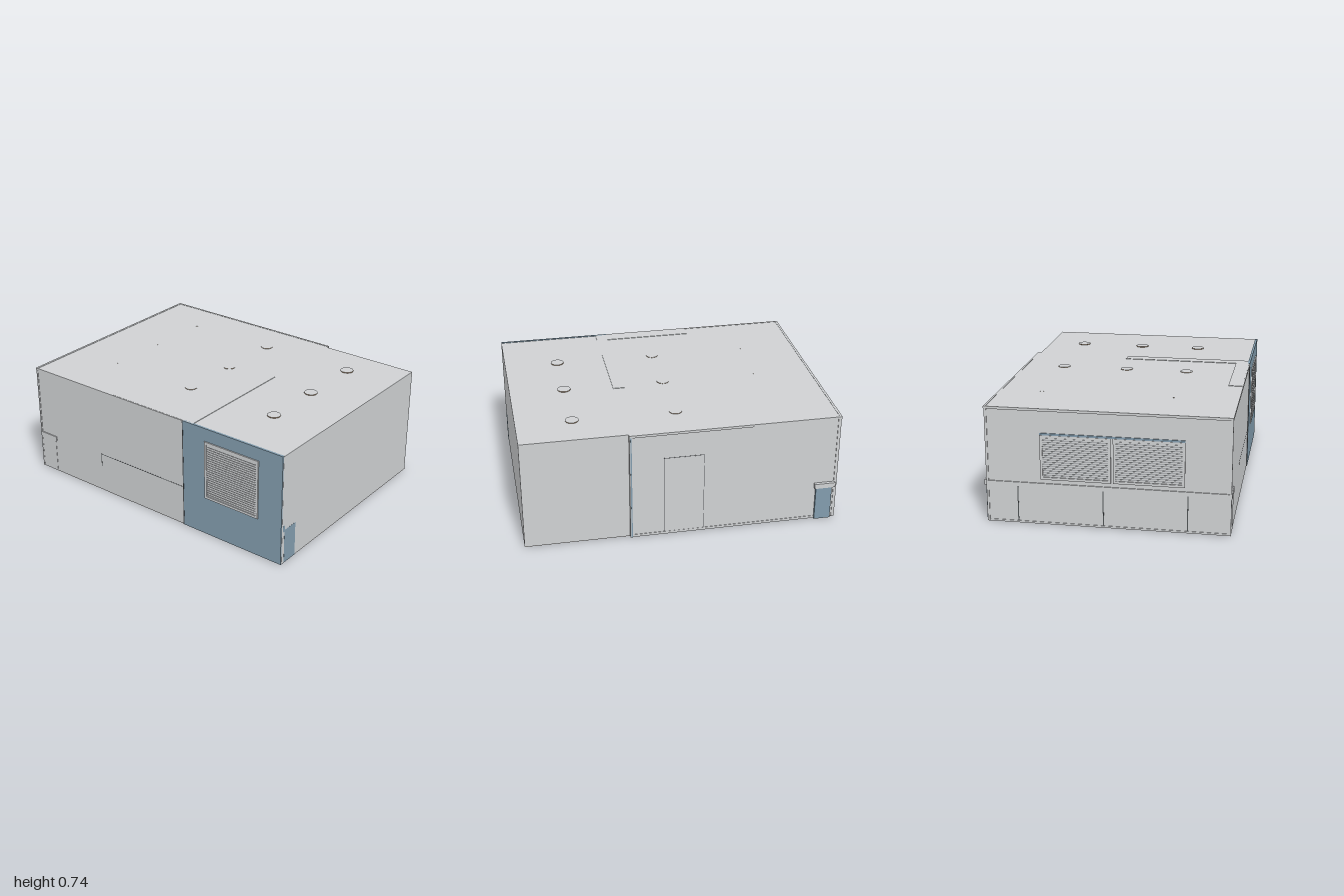
import * as THREE from 'three';

const mat = (name, color) => {
  const m = new THREE.MeshStandardMaterial({ color });
  m.name = name;
  return m;
};

export function createModel() {
  const room = new THREE.Group();
  room.name = 'room';
  const wall = mat('pale grey', 0xcfd1d3);
  const blue = mat('slate blue', 0x829cad);
  const floorMat = mat('brown floor', 0xa09686);
  const brown = mat('light ring brown', 0x9a7b5c);
  const dark = mat('dark seam', 0x4e5254);
  const shade = mat('window grey', 0x8b9093);

  // Box given by its minimum and maximum corners
  const block = (name, material, [x0, y0, z0], [x1, y1, z1], parent = room) => {
    const mesh = new THREE.Mesh(new THREE.BoxGeometry(x1 - x0, y1 - y0, z1 - z0), material);
    mesh.position.set((x0 + x1) / 2, (y0 + y1) / 2, (z0 + z1) / 2);
    mesh.name = name;
    parent.add(mesh);
    return mesh;
  };

  // Shell: front section is slightly narrower than the back section
  block('frontSection', wall, [-0.742, 0.004, 0.33], [0.72, 0.732, 1]);
  block('backSection', wall, [-0.746, 0.004, -0.992], [0.735, 0.732, 0.33]);
  block('frontFloor', floorMat, [-0.742, 0.002, 0.33], [0.72, 0.004, 1]);
  block('backFloor', floorMat, [-0.746, 0.002, -0.992], [0.735, 0.004, 0.33]);
  block('blueSideWall', blue, [-0.75, 0.001, 0.26], [-0.735, 0.735, 0.999]);

  // Cornice and skirting around the back section
  block('backCornice', wall, [-0.75, 0.718, -1], [0.742, 0.734, -0.985]);
  block('leftCornice', wall, [0.73, 0.718, -1], [0.742, 0.734, 0.335]);
  block('rightCornice', wall, [-0.75, 0.718, -1], [-0.74, 0.734, 0.26]);
  block('leftSkirting', wall, [0.73, 0.003, -0.99], [0.738, 0.02, 0.33]);
  block('backSkirting', wall, [-0.746, 0.003, -0.996], [0.735, 0.015, -0.985]);

  // Corner posts and the seam where the sections meet
  block('leftCornerPost', wall, [0.725, 0.003, -0.997], [0.739, 0.725, -0.978]);
  block('rightCornerPost', wall, [-0.749, 0.003, -0.997], [-0.735, 0.725, -0.985]);
  block('sectionPost', wall, [0.72, 0.003, 0.315], [0.74, 0.732, 0.336]);
  block('sectionSeam', blue, [0.73, 0.003, 0.322], [0.741, 0.732, 0.33]);
  block('rightWallSeam', dark, [-0.751, 0.003, 0.254], [-0.74, 0.732, 0.26]);

  // Door on the left wall: thin leaf with a dark reveal line
  block('doorReveal', dark, [0.73, 0.006, -0.133], [0.7358, 0.555, 0.123]);
  block('doorLeaf', wall, [0.73, 0.006, -0.13], [0.7366, 0.552, 0.12]);

  // Rail and panel joints on the back wall
  block('backRail', wall, [-0.748, 0.238, -0.999], [0.738, 0.265, -0.985]);
  for (const x of [0.545, 0.02, -0.49]) {
    block('panelJoint', dark, [x - 0.003, 0.015, -0.9928], [x + 0.003, 0.238, -0.985]);
  }

  // Ledges at the back corners, standing on small cabinets
  block('leftCabinet', blue, [0.72, 0.002, -0.965], [0.75, 0.232, -0.86]);
  block('leftLedge', wall, [0.72, 0.232, -0.985], [0.755, 0.265, -0.85]);
  block('rightCabinet', wall, [-0.748, 0.003, -0.985], [-0.72, 0.235, -0.86]);
  block('rightLedge', wall, [-0.753, 0.235, -0.995], [-0.72, 0.265, -0.85]);

  // Worktop edge on the right wall
  block('worktopEdge', dark, [-0.7468, 0.268, -0.44], [-0.74, 0.272, 0.254]);
  block('worktopEnd', dark, [-0.7468, 0.18, -0.442], [-0.74, 0.272, -0.438]);

  // Window facing -z before turning: frame, pane and blind slats
  const makeWindow = (name, w, h, slats) => {
    const g = new THREE.Group();
    g.name = name;
    const t = 0.016, x = w / 2, y = h / 2;
    block('pane', shade, [-x + t, -y + t, -0.002], [x - t, y - t, 0.004], g);
    for (const s of [-1, 1]) {
      const cx = s * (x - t / 2), cy = s * (y - t / 2);
      block('frameSide', wall, [cx - t / 2, -y, -0.008], [cx + t / 2, y, 0.004], g);
      block('frameBar', wall, [-x + t, cy - t / 2, -0.008], [x - t, cy + t / 2, 0.004], g);
    }
    const step = (h - 2 * t) / slats;
    for (let i = 0; i < slats; i++) {
      const sy = -y + t + (i + 0.5) * step;
      block('slat', wall, [-x + t, sy - step * 0.34, -0.004], [x - t, sy + step * 0.34, 0], g);
    }
    room.add(g);
    return g;
  };
  for (const x of [0.187, -0.257]) {
    makeWindow('backWindow', 0.43, 0.28, 18).position.set(x, 0.43, -0.992);
  }
  block('backWindowHead', blue, [-0.472, 0.57, -0.998], [0.402, 0.582, -0.985]);
  const side = makeWindow('sideWindow', 0.4, 0.39, 24);
  side.rotation.y = Math.PI / 2;
  side.position.set(-0.75, 0.455, 0.63);

  // Low cabinet showing through the front and floor
  block('frontCabinet', blue, [-0.718, 0.001, 0.5], [-0.605, 0.23, 1.0006]);
  block('cabinetTrim', blue, [-0.732, 0.22, 0.9], [-0.715, 0.26, 1.0006]);
  block('cabinetBase', blue, [-0.746, 0.0005, 0.5], [-0.6, 0.002, 1]);
  block('counterBase', blue, [-0.61, 0.0005, 0.34], [0.19, 0.002, 0.47]);
  block('sideUnitBase', wall, [-0.746, 0.0005, -0.4], [-0.59, 0.002, -0.18]);
  block('stoolBase', wall, [-0.04, 0.0005, 0.22], [0.22, 0.002, 0.29]);

  // L-shaped soffit on the roof
  const soffit = new THREE.Shape([
    [-0.744, 0.31], [-0.655, 0.31], [-0.655, -0.26], [0.1, -0.26], [0.1, -0.335], [-0.744, -0.335],
  ].map(([x, y]) => new THREE.Vector2(x, y)));
  const soffitMesh = new THREE.Mesh(
    new THREE.ExtrudeGeometry(soffit, { depth: 0.005, bevelEnabled: false }), wall);
  soffitMesh.rotation.x = -Math.PI / 2;
  soffitMesh.position.y = 0.73;
  soffitMesh.name = 'roofSoffit';
  room.add(soffitMesh);

  // Round ceiling lights coming through the roof, lower towards the back
  const rows = [[0.65, 0.737, 0.042], [0, 0.735, 0.04], [-0.62, 0.7325, 0.012]];
  for (const [z, top, r] of rows) {
    for (const x of [-0.35, 0.05, 0.475]) {
      const light = new THREE.Mesh(
        new THREE.CylinderGeometry(r, r, 0.012, 24), [brown, wall, wall]);
      light.position.set(x, top - 0.006, z);
      light.name = 'ceilingLight';
      room.add(light);
    }
  }
  return room;
}
